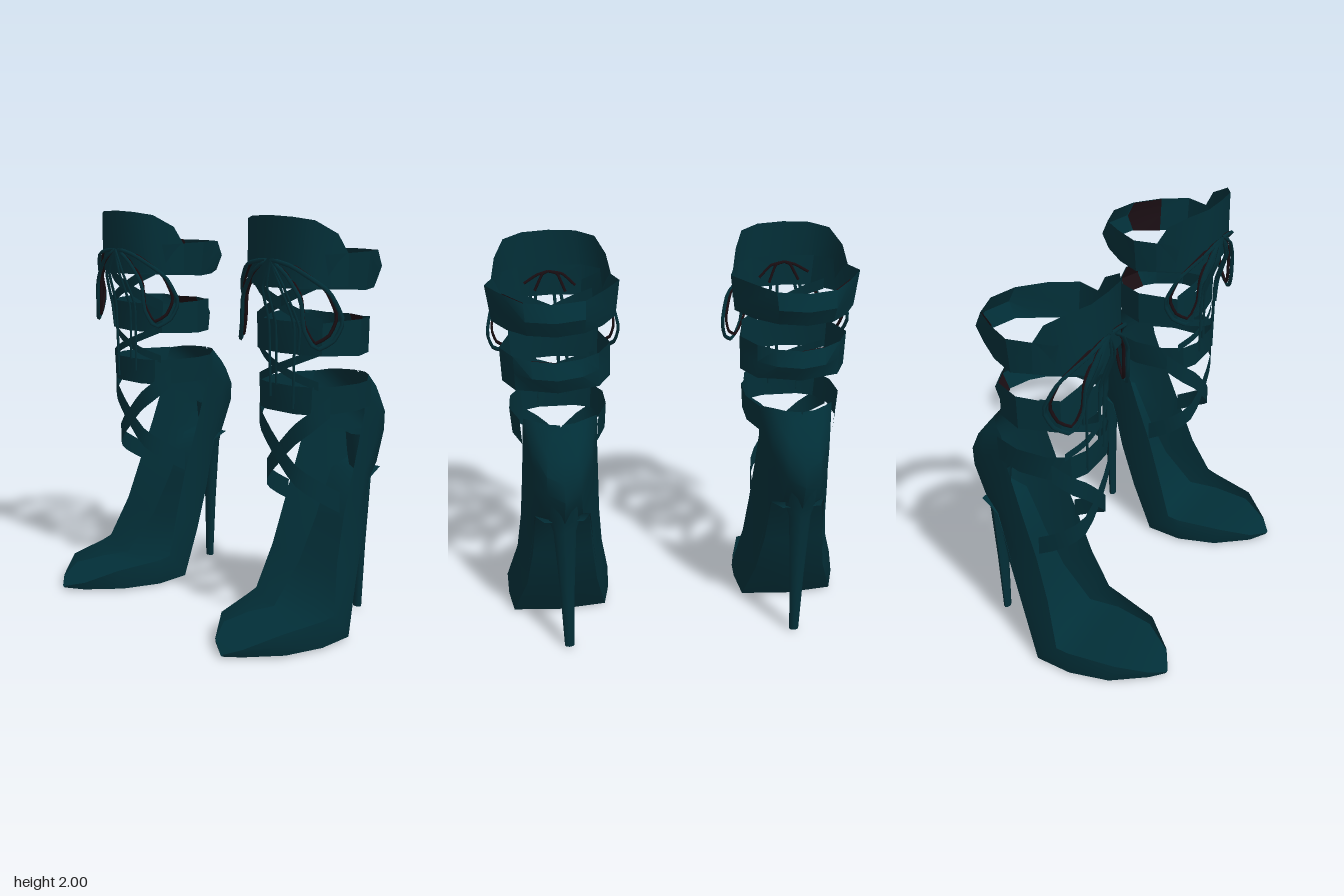
import * as THREE from 'three';
import { toCreasedNormals } from 'three/addons/utils/BufferGeometryUtils.js';

const teal = new THREE.MeshStandardMaterial({ color: 0x022f38, side: THREE.DoubleSide });
teal.name = 'dark teal leather';
const wine = new THREE.MeshStandardMaterial({ color: 0x1a0e13, side: THREE.DoubleSide });
wine.name = 'dark wine lining';

// Skin a list of cross-sections, each an array of [x, y, z]
function loft(sections, closed = false, crease = 0.6) {
  const n = sections[0].length, idx = [];
  for (let i = 0; i < sections.length - 1; i++) {
    for (let j = 0; j < (closed ? n : n - 1); j++) {
      const a = i * n + j, b = i * n + (j + 1) % n;
      idx.push(a, b, a + n, b, b + n, a + n);
    }
  }
  const g = new THREE.BufferGeometry();
  g.setAttribute('position', new THREE.Float32BufferAttribute(sections.flat(2), 3));
  g.setIndex(idx);
  return toCreasedNormals(g, crease);
}

// Shoe stations, toe to heel: rim z,y | keel z,y | rim and sole half widths | centre x | sole corner and insole depth
const STATIONS = [
  [0.548, 0.025, 0.545, 0.015, 0.008, 0.006, 0.64, 1, 0],
  [0.49, 0.055, 0.485, 0.015, 0.095, 0.085, 0.625, 1, 0.1],
  [0.35, 0.12, 0.32, 0.015, 0.205, 0.205, 0.62, 1, 0.5],
  [0.12, 0.145, 0.12, 0.012, 0.26, 0.252, 0.613, 1, 0.7],
  [0.06, 0.16, -0.08, 0.005, 0.268, 0.24, 0.613, 0.93, 0.75],
  [-0.02, 0.38, -0.21, 0.24, 0.22, 0.18, 0.597, 0.93, 0.82],
  [-0.09, 0.6, -0.3, 0.47, 0.2, 0.15, 0.59, 0.93, 0.85],
  [-0.17, 0.82, -0.37, 0.72, 0.19, 0.13, 0.585, 0.9, 0.9],
  [-0.25, 1.06, -0.48, 0.74, 0.18, 0.09, 0.58, 0.86, 0.95],
  [-0.265, 1.17, -0.548, 0.9, 0.18, 0.08, 0.575, 0.88],
  [-0.28, 1.225, -0.55, 1.0, 0.175, 0.08, 0.575, 0.88],
  [-0.34, 1.235, -0.5, 1.1, 0.125, 0.07, 0.575, 0.9],
  [-0.385, 1.235, -0.43, 1.19, 0.065, 0.04, 0.575, 0.95],
  [-0.4, 1.235, -0.405, 1.225, 0.005, 0.003, 0.575, 0.95],
];

// Half outline of an ankle band as [x, z], front to back
const halfRing = (w, front, back) => [
  [0, front], [0.5 * w, front - 0.02], [0.82 * w, 0.08], [w, -0.12],
  [0.76 * w, -0.25], [0.45 * w, back + 0.04], [0, back],
];

function makeShoe(s) {
  const shoe = new THREE.Group();
  shoe.name = s > 0 ? 'leftShoe' : 'rightShoe';
  const add = (name, geometry, material = teal) => {
    const m = new THREE.Mesh(geometry, material);
    m.name = name;
    shoe.add(m);
  };
  const C = 0.58;
  const at = (x, y, z, cx = C) => [s * (cx + x), y, z];

  // Open upper with sole and rounded heel cup
  const sectionAt = ([tz, ty, kz, ky, wt, wb, cx, v], pts) => pts(wt, wb, v).map(
    ([x, d]) => at(x, ty + (ky - ty) * d, tz + (kz - tz) * d, cx));
  add('upper', loft(STATIONS.map(st => sectionAt(st, (wt, wb, v) => {
    const wm = wt * 0.6 + wb * 0.43;
    return [[-wt, 0], [-wm, 0.5], [-wb, v], [0, 1], [wb, v], [wm, 0.5], [wt, 0]];
  })), false, 0.9));
  add('insole', loft(STATIONS.slice(0, 9).map(st => sectionAt(st, (wt, wb) => {
    const d = st[8], w = wt + (wb - wt) * d;
    return [[-w, d], [0, d], [w, d]];
  })), false, 1.3));

  // Stiletto heel flaring into the cup: y, front z, back z, half width
  const heel = [[0.92, -0.36, -0.53, 0.09], [0.82, -0.375, -0.507, 0.085], [0.755, -0.388, -0.486, 0.075],
    [0.69, -0.4, -0.476, 0.055], [0.35, -0.408, -0.457, 0.036],
    [0.015, -0.41, -0.444, 0.024], [0.015, -0.427, -0.427, 0.001]];
  add('stilettoHeel', loft(heel.map(([y, zf, zb, w]) => Array.from({ length: 8 }, (_, i) => {
    const a = i * Math.PI / 4;
    return at(w * Math.sin(a), y, (zf + zb) / 2 + (zf - zb) / 2 * Math.cos(a));
  })), true, 0.9));

  // Ankle bands, tapering downward and bowed outward at the back,
  // with a lining patch inside one segment of the half outline
  const ring = (name, w, front, back, lo, hi, taper, patchStart) => {
    const h = halfRing(w, front, back);
    const loop = [...h, ...h.slice(1, -1).reverse().map(([x, z]) => [-x, z])];
    const rows = [lo, (lo + hi) / 2, hi].map((y, k) => loop.map(([x, z]) =>
      at(x * (1 - taper * (1 - k / 2)), y + (k - 1) * (z < -0.05 && z > -0.3 ? 0.01 : 0),
        z + (k !== 1 && z < -0.3 ? 0.035 : 0))));
    add(name, loft(rows, true));
    add(name + 'Lining', loft(rows.map(r => r.slice(patchStart, patchStart + 2).map(
      ([x, y, z]) => [s * C + (x - s * C) * 0.98, y, z + 0.006]))), wine);
  };
  ring('middleBand', 0.265, 0.135, -0.37, 1.37, 1.52, 0.02, 5);
  ring('upperBand', 0.315, 0.19, -0.44, 1.675, 1.83, 0.07, 4);
  const cuff = [[-0.18, -0.29], [-0.225, -0.15], [-0.22, 0], [-0.17, 0.1], [-0.09, 0.135],
    [0.09, 0.135], [0.17, 0.1], [0.22, 0], [0.225, -0.15], [0.18, -0.29]];
  add('lowerBand', loft([1.095, 1.225].map((y, k) => cuff.map(([x, z]) => at(x * (1 + 0.04 * k), y, z)))));

  // Raised front panel: x, z, top y
  const half = [[0.285, -0.01, 1.83], [0.265, 0.04, 1.92], [0.22, 0.14, 1.98], [0.13, 0.195, 1.995], [0, 0.205, 2]];
  const panel = [...half, ...half.slice(0, -1).reverse().map(([x, z, y]) => [-x, z, y])];
  add('frontPanel', loft([0, 1].map(k => panel.map(([x, z, y]) => at(x, k ? y : 1.685, z)))));

  // Flat straps with vertical width, each crossed with its mirror image
  const crossed = (name, pts, height) => {
    for (const m of [1, -1]) {
      const line = new THREE.CatmullRomCurve3(pts.map(p => new THREE.Vector3(...p))).getPoints(12);
      add(name, loft([-0.5, 0.5].map(k => line.map(p => at(m * p.x, p.y + k * height, p.z + (m > 0 ? 0 : 0.004))))));
    }
  };
  crossed('instepStrap', [[-0.175, 0.65, -0.1], [-0.16, 0.73, 0.04], [-0.1, 0.8, 0.12], [0, 0.9, 0.135],
    [0.1, 1.0, 0.13], [0.17, 1.06, 0.1], [0.215, 1.13, 0.02]], 0.1);
  crossed('lowerLaceCross', [[-0.2, 1.23, 0.08], [-0.1, 1.265, 0.125], [0, 1.305, 0.14], [0.1, 1.345, 0.125], [0.2, 1.39, 0.08]], 0.04);
  crossed('upperLaceCross', [[-0.22, 1.51, 0.08], [-0.1, 1.56, 0.13], [0, 1.605, 0.15], [0.1, 1.65, 0.15], [0.2, 1.7, 0.11]], 0.055);

  // Cords: angular bow loops, hanging tails, and tied ends behind the panel
  const cord = (name, pts, r, material, closed = false) => add(name, new THREE.TubeGeometry(
    new THREE.CatmullRomCurve3(pts.map(p => new THREE.Vector3(...at(...p))), closed, 'catmullrom', 0.25), 30, r, 4, closed), material);
  const bow = [[0.02, 1.8], [0.15, 1.775], [0.285, 1.67], [0.32, 1.54], [0.3, 1.45], [0.25, 1.41], [0.205, 1.5], [0.19, 1.63], [0.11, 1.74]];
  for (const m of [1, -1]) {
    const loop = (size, dz) => bow.map(([x, y]) => {
      const px = 0.02 + (x - 0.02) * size;
      return [m * px, 1.8 + (y - 1.8) * size, 0.215 + dz - 15 * px ** 4];
    });
    cord('bowLoop', loop(1, 0), 0.01, teal, true);
    cord('bowLoopLining', loop(0.93, -0.02), 0.008, wine, true);
  }
  for (const [x, y] of [[-0.06, 1.16], [-0.02, 1.22], [0.09, 1.12], [0.12, 1.38]]) {
    cord('laceTail', [[0.01, 1.8, 0.212], [x * 0.8, 1.68, 0.208], [x * 1.1, 1.5, 0.145], [x, y, 0.138]], 0.008);
  }
  for (const [x, y] of [[-0.12, 1.73], [-0.07, 1.7], [0.08, 1.71], [0.13, 1.75]]) {
    cord('tiedEnd', [[0.01, 1.8, 0.178], [x * 0.5, 1.785, 0.172], [x, y, 0.155]], 0.007, wine);
  }
  return shoe;
}

export function createModel() {
  const model = new THREE.Group();
  model.name = 'strappyHeels';
  model.add(makeShoe(1), makeShoe(-1));
  return model;
}
